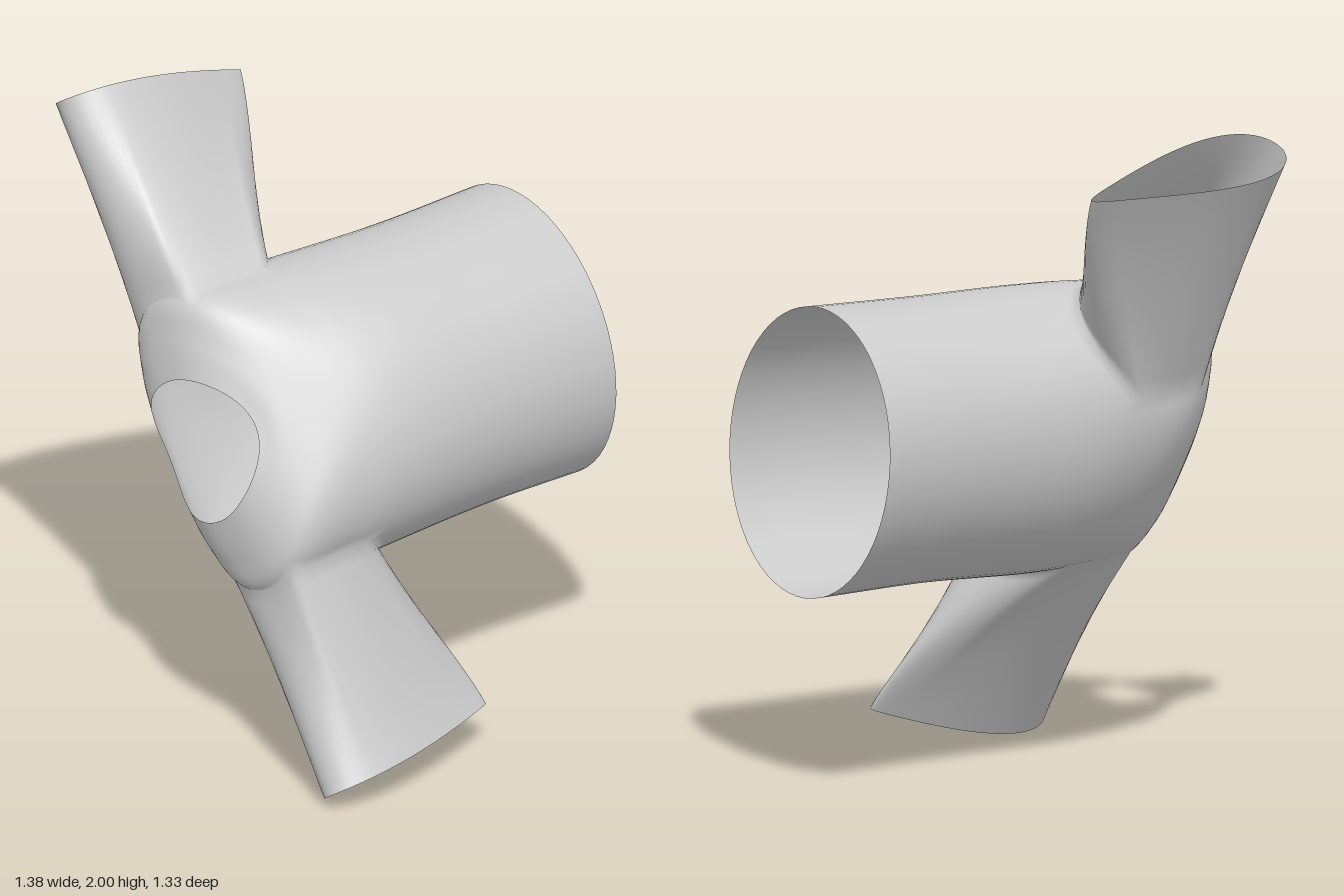
import * as THREE from 'three';

// Directions across the garment: U runs along the sleeves, V from back panel to chest.
const CENTER = [0.09, 1.05], U = [-0.532, 0.847], V = [0.847, 0.532];
const place = (u, v, z) => new THREE.Vector3(
  CENTER[0] + U[0] * u + V[0] * v, CENTER[1] + U[1] * u + V[1] * v, z);

const AROUND = 64;      // points per ring of the body
const SUB = 8;          // rings between two profile points
const ARM_HALF = 6;     // half width of an armhole, in ring points
const ARM_STEPS = 14;   // loops along a sleeve

// Hem-to-neck profiles as [radius, z]: towards the sleeves and towards chest/back
const curve = pts => new THREE.CatmullRomCurve3(
  pts.map(p => new THREE.Vector3(p[0], p[1], p[2] || 0)));
const shoulderSide = curve([[0.46, -0.64], [0.455, -0.25], [0.47, 0.16], [0.48, 0.37],
  [0.47, 0.595], [0.36, 0.635], [0.225, 0.66]]);
// third value: shift of the ring centre along V
const panelSide = curve([[0.42, -0.64, 0.01], [0.41, -0.25, 0], [0.4, 0.12, -0.02],
  [0.37, 0.29, -0.03], [0.325, 0.42, -0.045], [0.27, 0.53, -0.06], [0.225, 0.58, -0.067]]);
const RINGS = 6 * SUB, ARM_LOW = 2 * SUB, ARM_HIGH = 4 * SUB;
const armCenters = [-2, AROUND / 2 + 2];
const wrap = i => (i + AROUND) % AROUND;

// Slides ring points towards the neck beside the armpit, so the armhole is U-shaped
function armpitSlide(i, j) {
  const d = Math.min(...armCenters.map(c => {
    const n = wrap(i - c);
    return Math.min(n, AROUND - n);
  }));
  const across = d <= ARM_HALF ? (d / ARM_HALF) ** 2 : Math.max(0, 1 - (d - ARM_HALF) / 9);
  return 0.65 * SUB * across * Math.max(0, 1 - Math.abs(j - ARM_LOW) / (1.5 * SUB));
}

export function createModel() {
  const points = [], faces = [];
  const id = (i, j) => j * AROUND + wrap(i);
  const quad = (a, b, c, d) => faces.push(a, b, c, a, c, d);

  // Body: rings from the open hem to the neck hole
  for (let j = 0; j <= RINGS; j++) {
    const hem = Math.max(0, 1 - j / SUB);
    for (let i = 0; i < AROUND; i++) {
      const along = (j + armpitSlide(i, j)) / RINGS;
      const a = shoulderSide.getPoint(along), b = panelSide.getPoint(along);
      const t = i / AROUND * Math.PI * 2, c = Math.cos(t), s = Math.sin(t);
      const panel = Math.abs(s) ** 3;
      const z = a.y * (1 - panel) + b.y * panel + hem * 0.03 * s;
      points.push(place(a.x * c, b.x * s + b.z, z));
    }
  }
  const inArmhole = (i, j) => j >= ARM_LOW && j < ARM_HIGH &&
    armCenters.some(c => wrap(i - c + ARM_HALF) < 2 * ARM_HALF);
  for (let j = 0; j < RINGS; j++) {
    for (let i = 0; i < AROUND; i++) {
      if (!inArmhole(i, j)) quad(id(i, j), id(i, j + 1), id(i + 1, j + 1), id(i + 1, j));
    }
  }

  // Sleeves: each lofted from the armhole edge to a drop-shaped open cuff
  armCenters.forEach((center, k) => {
    const side = k === 0 ? 1 : -1;
    const rim = [];
    for (let j = ARM_LOW; j < ARM_HIGH; j++) rim.push([-ARM_HALF, j]);
    for (let i = -ARM_HALF; i < ARM_HALF; i++) rim.push([i, ARM_HIGH]);
    for (let j = ARM_HIGH; j > ARM_LOW; j--) rim.push([ARM_HALF, j]);
    for (let i = ARM_HALF; i > -ARM_HALF; i--) rim.push([i, ARM_LOW]);

    const mid = (ARM_LOW + ARM_HIGH) / 2, halfHigh = (ARM_HIGH - ARM_LOW) / 2;
    const cuff = rim.map(([i, j]) => {
      const angle = Math.atan2((j - mid) / halfHigh, side * i / ARM_HALF);
      const c = Math.cos(angle), s = Math.sin(angle);
      const length = (k === 0 ? 1.135 : 1.12) - 0.1 * Math.pow((1 - s) / 2, 1.5);
      return {
        u: side * length,
        v: (k === 0 ? -0.115 : -0.105) + 0.118 * c * (0.8 + 0.5 * s),
        z: 0.275 + 0.345 * s
      };
    });

    let loop = rim.map(([i, j]) => id(center + i, j));
    const start = loop.map(n => {
      const x = points[n].x - CENTER[0], y = points[n].y - CENTER[1];
      return { u: x * U[0] + y * U[1], v: x * V[0] + y * V[1], z: points[n].z };
    });
    for (let step = 1; step <= ARM_STEPS; step++) {
      const t = step / ARM_STEPS;
      const slim = 1 - Math.pow(1 - t, 1.7);   // narrows quickly near the body
      const drop = 1 - Math.pow(1 - t, 1.25);  // underarm line
      const next = loop.map((_, n) => {
        const a = start[n], b = cuff[n];
        points.push(place(a.u + (b.u - a.u) * t, a.v + (b.v - a.v) * slim,
          a.z + (b.z - a.z) * drop));
        return points.length - 1;
      });
      loop.forEach((_, n) => {
        const m = (n + 1) % loop.length;
        quad(loop[n], loop[m], next[m], next[n]);
      });
      loop = next;
    }
  });

  // One thin, seamless cloth surface
  const geometry = new THREE.BufferGeometry().setFromPoints(points);
  geometry.setIndex(faces);
  geometry.computeVertexNormals();
  const shirt = new THREE.Mesh(geometry,
    new THREE.MeshStandardMaterial({ color: 0xcccccc, side: THREE.DoubleSide }));
  shirt.name = 'shirt';
  const group = new THREE.Group();
  group.name = 'garment';
  group.add(shirt);
  return group;
}
